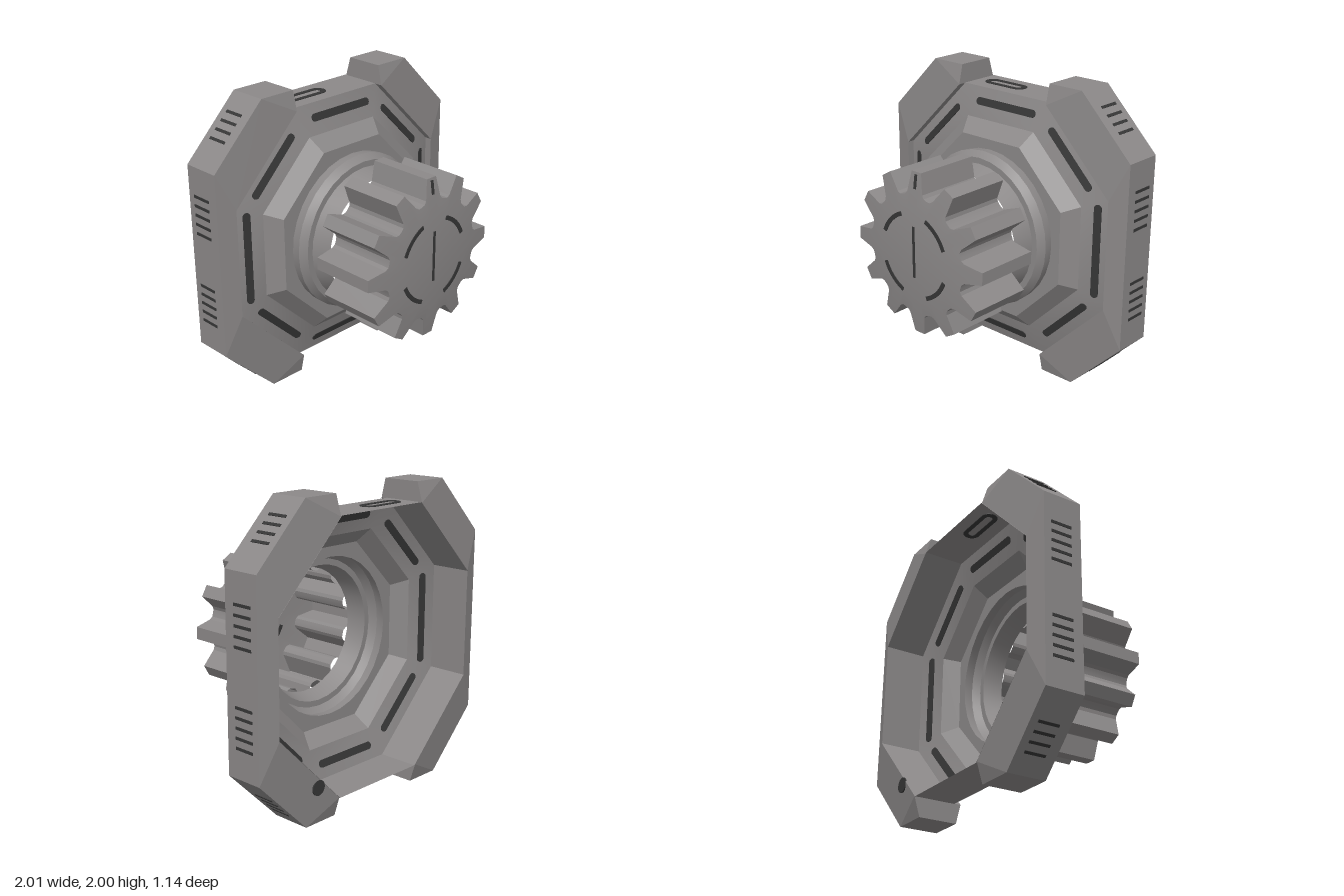
import * as THREE from 'three';
import { toCreasedNormals } from 'three/addons/utils/BufferGeometryUtils.js';

const grey = new THREE.MeshStandardMaterial({ color: 0x8c8989, side: THREE.DoubleSide });
grey.name = 'grey metal';
const dark = new THREE.MeshStandardMaterial({ color: 0x363636, side: THREE.DoubleSide });
dark.name = 'dark slot';

function add(parent, name, geometry, material, x = 0, y = 0, z = 0) {
  const mesh = new THREE.Mesh(geometry, material);
  mesh.name = name;
  mesh.position.set(x, y, z);
  parent.add(mesh);
  return mesh;
}

// Joins closed cross-sections of equal length; optionally caps both ends
function loft(sections, capped) {
  const pos = [];
  const tri = (a, b, c) => pos.push(...a, ...b, ...c);
  for (let s = 0; s + 1 < sections.length; s++) {
    const p = sections[s], q = sections[s + 1], n = p.length;
    for (let i = 0; i < n; i++) {
      const j = (i + 1) % n;
      tri(p[i], p[j], q[j]);
      tri(p[i], q[j], q[i]);
    }
  }
  if (capped) {
    const a = sections[0], b = sections[sections.length - 1];
    for (let i = 1; i + 1 < a.length; i++) {
      tri(a[0], a[i + 1], a[i]);
      tri(b[0], b[i], b[i + 1]);
    }
  }
  const g = new THREE.BufferGeometry();
  g.setAttribute('position', new THREE.Float32BufferAttribute(pos, 3));
  g.computeVertexNormals();
  return g;
}

// Profile of [radius, z] turned around the z axis
function turned(profile, segments, phase = 0) {
  const g = new THREE.LatheGeometry(profile.map(p => new THREE.Vector2(p[0], p[1])), segments, phase);
  g.rotateX(Math.PI / 2);
  return toCreasedNormals(g, 0.45);
}

function stadium(Type, halfLength, r) {
  const s = new Type();
  const h = halfLength - r;
  s.absarc(h, 0, r, -Math.PI / 2, Math.PI / 2, false);
  s.absarc(-h, 0, r, Math.PI / 2, Math.PI * 1.5, false);
  s.closePath();
  return s;
}

// Thin plate centred on its surface so it shows on both sides
function plate(shape) {
  const g = new THREE.ExtrudeGeometry(shape, { depth: 0.009, bevelEnabled: false, curveSegments: 8 });
  g.translate(0, 0, -0.0045);
  return g;
}

export function createModel() {
  const root = new THREE.Group();
  root.name = 'gearHousing';
  const body = new THREE.Group();
  body.name = 'body';
  body.position.y = 1;
  root.add(body);

  // Hollow octagonal housing, open at the back
  const k = 1 / Math.cos(Math.PI / 8);
  const octProfile = [[0.875, -0.57], [0.875, -0.29], [0.68, -0.23], [0.59, -0.14]].map(([r, z]) => [r * k, z]);
  add(body, 'octagonHousing', turned(octProfile, 8, Math.PI / 8), grey);
  const flat = new THREE.Shape();
  for (let i = 0; i < 8; i++) {
    const a = (i + 0.5) * Math.PI / 4, r = 0.59 * k;
    flat[i ? 'lineTo' : 'moveTo'](r * Math.cos(a), r * Math.sin(a));
  }
  flat.closePath();
  flat.holes.push(new THREE.Path().absarc(0, 0, 0.525, 0, Math.PI * 2, true));
  add(body, 'octagonFront', new THREE.ShapeGeometry(flat, 16), grey, 0, 0, -0.14);

  // Round collar and tapered open neck
  add(body, 'collarAndNeck',
    turned([[0.525, -0.14], [0.53, -0.08], [0.495, -0.035], [0.455, -0.035], [0.42, 0.09]], 32), grey);

  // Side brackets with sloping front and back faces
  for (const side of [1, -1]) {
    const outer = [[0.37, 1], [0.62, 1], [1, 0.62], [1, -0.62], [0.62, -1], [0.37, -1]];
    const inner = [[0.37, 0.87], [0.37, 0.87], [0.875, 0.365], [0.875, -0.365], [0.37, -0.87], [0.37, -0.87]];
    const sections = outer.map(([ox, oy], i) => {
      const [ix, iy] = inner[i];
      return [[ix, iy, -0.57], [ox, oy, -0.53], [ox, oy, -0.27], [ix, iy, -0.24]]
        .map(([x, y, z]) => [x * side, y, z]);
    });
    add(body, side > 0 ? 'leftBracket' : 'rightBracket', loft(sections, true), grey);

    // Vents on the outer wall and on the slanted corners
    const vent = new THREE.BoxGeometry(0.009, 0.018, 0.14);
    for (const end of [1, -1]) {
      for (let i = 0; i < 5; i++) {
        add(body, 'wallVent', vent, dark, side, end * (0.18 + i * 0.062), -0.41);
      }
      for (let i = 0; i < 4; i++) {
        const y = 0.765 + i * 0.045;
        add(body, 'cornerVent', vent, dark, side * (1.62 - y), end * y, -0.41)
          .rotation.z = side * end * Math.PI / 4;
      }
    }
  }

  // Slots around the sloping front of the housing
  for (let i = 0; i < 8; i++) {
    const arm = new THREE.Group();
    arm.name = 'slotArm';
    arm.rotation.z = i * Math.PI / 4;
    body.add(arm);
    const half = i % 4 === 2 ? 0.315 : i % 2 ? 0.235 : 0.25;
    const slot = add(arm, 'frontSlot', plate(stadium(THREE.Shape, half, 0.025)), dark,
      i % 4 === 0 ? 0.02 : 0, 0.785, -0.262);
    slot.rotation.x = -Math.atan2(0.06, 0.195);
  }

  // Rounded outline on the top wall
  const ring = stadium(THREE.Shape, 0.165, 0.055);
  ring.holes.push(stadium(THREE.Path, 0.13, 0.025));
  add(body, 'topOutline', plate(ring), dark, -0.13, 0.875, -0.435).rotation.x = -Math.PI / 2;

  // Round mark on the back of one bracket
  const dot = new THREE.CylinderGeometry(0.05, 0.05, 0.009, 20).rotateX(Math.PI / 2);
  add(body, 'backDot', dot, dark, 0.55, -0.75, -0.566);

  // Hollow twelve-toothed gear with a slightly domed front
  const gear = new THREE.Group();
  gear.name = 'gear';
  gear.position.set(0.012, 0.005, 0);
  body.add(gear);
  const tooth = [[-0.2618, 0.395], [-0.2, 0.398], [-0.155, 0.415], [-0.075, 0.542],
    [0.075, 0.542], [0.155, 0.415], [0.2, 0.398]];
  const outline = [];
  for (let i = 0; i < 12; i++) {
    for (const [da, r] of tooth) outline.push([i * Math.PI / 6 + da, r]);
  }
  const section = (radius, height) => outline.map(([a, r]) => {
    const q = radius(r);
    return [q * Math.cos(a), q * Math.sin(a), height(r)];
  });
  const gearSections = [
    section(r => r, () => 0.09),
    section(r => r, r => 0.565 - 0.035 * (r - 0.3) / 0.24),
    section(() => 0.3, () => 0.565),
    section(() => 0, () => 0.565),
  ];
  add(gear, 'gearShell', toCreasedNormals(loft(gearSections, false), 0.4), grey);

  // Marks on the gear face
  for (let i = 0; i < 4; i++) {
    const mid = (i + 0.5) * Math.PI / 2;
    const arc = new THREE.Shape();
    arc.absarc(0, 0, 0.29, mid - 0.4, mid + 0.4, false);
    arc.absarc(0, 0, 0.262, mid + 0.4, mid - 0.4, true);
    arc.closePath();
    add(gear, 'faceArc', plate(arc), dark, 0, 0, 0.565);
  }
  add(gear, 'faceBar', new THREE.BoxGeometry(0.018, 0.34, 0.009), dark, 0, 0.025, 0.565);
  add(gear, 'toothMark', new THREE.BoxGeometry(0.02, 0.09, 0.009), dark, 0, 0.48, 0.539)
    .rotation.x = -0.145;

  return root;
}
